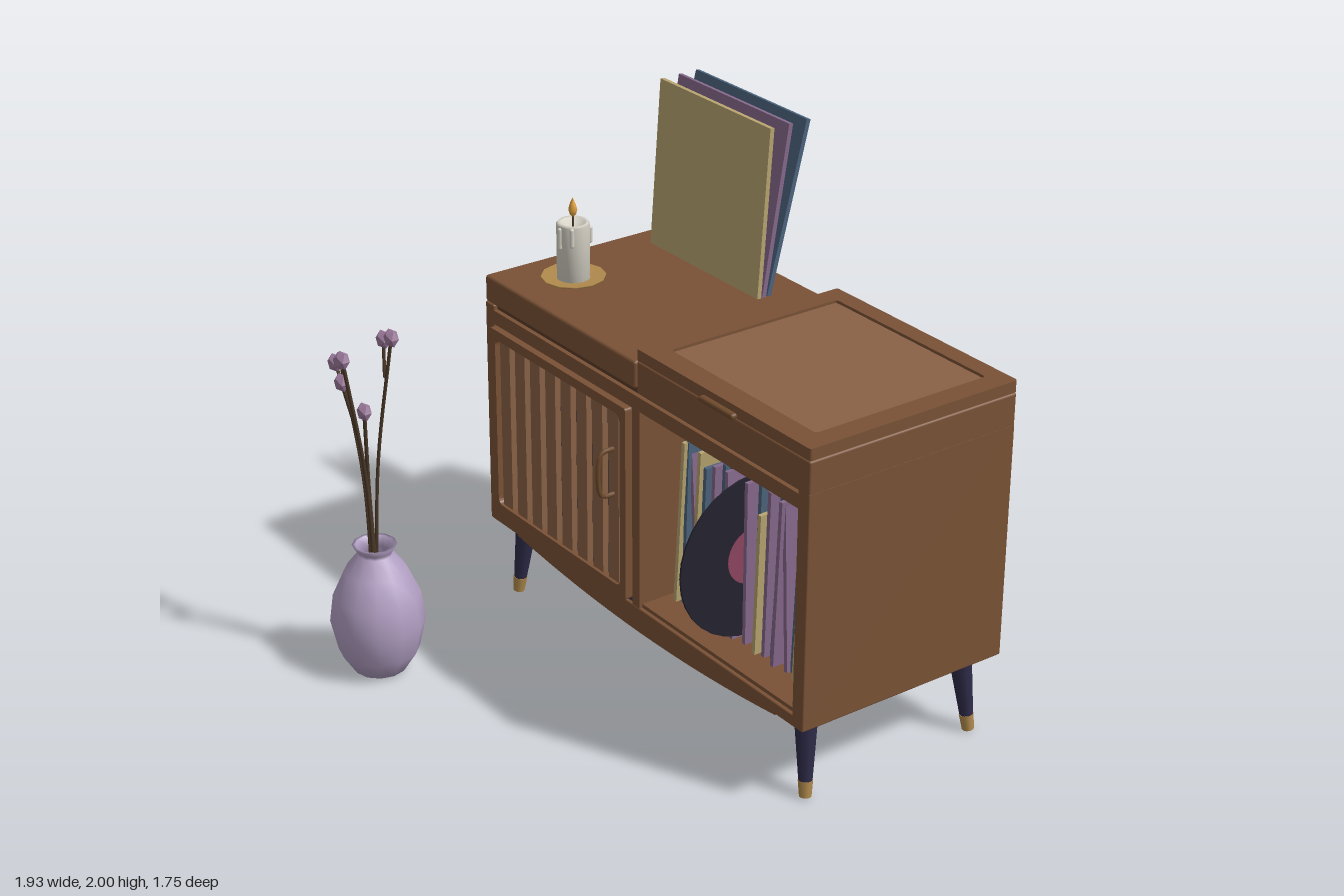
import * as THREE from 'three';
import { RoundedBoxGeometry } from 'three/addons/geometries/RoundedBoxGeometry.js';

const mat = (color, extra = {}) => {
  const m = new THREE.MeshStandardMaterial(extra);
  m.color.set(color);
  return m;
};
const M = {
  wood: mat(0x7a5236), panel: mat(0x8a6246), dark: mat(0x5a3b28), navy: mat(0x3b3654), leg: mat(0x2e2b48),
  gold: mat(0xb08a4c), brass: mat(0x6e4a2c), yellow: mat(0xb8a470), purple: mat(0x86698c), blue: mat(0x4c637c),
  vinyl: mat(0x24222e), label: mat(0x8c4460), vase: mat(0xb3a0c4, { side: THREE.DoubleSide }),
  wax: mat(0xd6d2c6), flame: mat(0xe0a040), twig: mat(0x4a3828), bloom: mat(0x9c7a9c, { flatShading: true }),
};

export function createModel() {
  const root = new THREE.Group();
  root.name = 'recordCabinet';

  const add = (name, geo, m, x = 0, y = 0, z = 0, parent = root) => {
    const mesh = new THREE.Mesh(geo, m);
    mesh.name = name;
    mesh.position.set(x, y, z);
    parent.add(mesh);
    return mesh;
  };
  // box from its limits, optionally with softened edges
  const box = (name, m, x0, x1, y0, y1, z0, z1, r = 0, parent = root) => {
    const s = [x1 - x0, y1 - y0, z1 - z0];
    const geo = r ? new RoundedBoxGeometry(...s, 2, r) : new THREE.BoxGeometry(...s);
    return add(name, geo, m, (x0 + x1) / 2, (y0 + y1) / 2, (z0 + z1) / 2, parent);
  };
  const tube = (name, pts, r, m, parent = root) => add(name, new THREE.TubeGeometry(
    new THREE.CatmullRomCurve3(pts.map(p => new THREE.Vector3(...p))), 14, r, 6), m, 0, 0, 0, parent);
  const roundRect = (Type, x0, x1, y0, y1, r) => {
    const s = new Type();
    s.moveTo(x0 + r, y0);
    s.lineTo(x1 - r, y0).quadraticCurveTo(x1, y0, x1, y0 + r);
    s.lineTo(x1, y1 - r).quadraticCurveTo(x1, y1, x1 - r, y1);
    s.lineTo(x0 + r, y1).quadraticCurveTo(x0, y1, x0, y1 - r);
    s.lineTo(x0, y0 + r).quadraticCurveTo(x0, y0, x0 + r, y0);
    return s;
  };

  // Carcass
  box('rightSide', M.wood, -0.97, -0.915, 0.32, 1.235, -0.87, 0.03, 0.006);
  box('leftSide', M.wood, 0.905, 0.965, 0.32, 1.235, -0.87, 0.03, 0.006);
  box('bottomBoard', M.wood, -0.96, 0.955, 0.32, 0.365, -0.868, 0.03, 0.005);
  box('innerFloor', M.wood, -0.93, 0.93, 0.36, 0.38, -0.855, 0.015);
  box('topBoard', M.wood, -0.93, 0.93, 1.16, 1.215, -0.868, 0.03);
  box('shadowGap', M.dark, -0.93, 0.93, 1.21, 1.24, -0.855, 0.012);
  box('divider', M.wood, -0.03, 0.015, 0.36, 1.17, -0.85, 0.028);
  box('backPanel', M.wood, -0.925, 0.925, 0.35, 1.18, -0.855, -0.825);
  box('compartmentBack', M.navy, 0.01, 0.91, 0.37, 1.165, -0.826, -0.815);
  box('doorBacking', M.navy, -0.92, -0.025, 0.37, 1.165, 0.0, 0.022);

  // Fixed top on one side, hinged lid on the other
  box('fixedTop', M.wood, -0.97, -0.012, 1.235, 1.342, -0.87, 0.03, 0.012);
  box('playerBox', M.wood, 0, 0.965, 1.225, 1.352, -0.87, 0.03, 0.008);
  const lid = new THREE.Group();
  lid.name = 'lid';
  root.add(lid);
  const lidShape = roundRect(THREE.Shape, 0, 0.965, -0.03, 0.87, 0.012);
  lidShape.holes.push(roundRect(THREE.Path, 0.08, 0.88, 0.06, 0.8, 0.015));
  const lidGeo = new THREE.ExtrudeGeometry(lidShape, { depth: 0.044, bevelEnabled: false });
  add('lidFrame', lidGeo.rotateX(-Math.PI / 2), M.wood, 0, 1.355, 0, lid);
  box('lidPanel', M.panel, 0.078, 0.882, 1.35, 1.388, -0.802, -0.058, 0, lid);
  box('lidHandle', M.brass, 0.385, 0.575, 1.352, 1.374, 0.025, 0.053, 0.009, lid);

  // Slatted door
  const door = new THREE.Group();
  door.name = 'door';
  root.add(door);
  const frame = roundRect(THREE.Shape, -0.905, -0.03, 0.388, 1.16, 0.012);
  frame.holes.push(roundRect(THREE.Path, -0.868, -0.065, 0.43, 1.122, 0.03));
  add('doorFrame', new THREE.ExtrudeGeometry(frame, { depth: 0.03, bevelEnabled: false, curveSegments: 5 }), M.wood, 0, 0, 0.028, door);
  for (let i = 0; i < 8; i++) {
    const x = -0.82 + i * 0.1;
    box('slat', M.panel, x - 0.032, x + 0.032, 0.42, 1.13, 0.02, 0.046, 0, door);
  }
  tube('doorHandle', [[-0.12, 0.785, 0.04], [-0.12, 0.785, 0.085], [-0.12, 0.8, 0.105],
    [-0.12, 0.95, 0.105], [-0.12, 0.965, 0.085], [-0.12, 0.965, 0.04]], 0.009, M.brass, door);

  // Curved apron under the front
  const arc = new THREE.Shape();
  arc.moveTo(-0.8, 0.33);
  arc.lineTo(-0.8, 0.305);
  arc.quadraticCurveTo(0, 0.205, 0.8, 0.305);
  arc.lineTo(0.8, 0.33);
  add('apron', new THREE.ExtrudeGeometry(arc, { depth: 0.03, bevelEnabled: false, curveSegments: 16 }), M.wood, 0, 0, -0.012);

  // Splayed legs with metal tips
  const rod = (name, a, b, ra, rb, m) => {
    const A = new THREE.Vector3(...a), B = new THREE.Vector3(...b), d = B.clone().sub(A);
    const mesh = add(name, new THREE.CylinderGeometry(rb, ra, d.length(), 10), m);
    mesh.position.copy(A).add(B).multiplyScalar(0.5);
    mesh.quaternion.setFromUnitVectors(new THREE.Vector3(0, 1, 0), d.normalize());
  };
  for (const sx of [-1, 1]) for (const [zTop, zFoot] of [[-0.068, -0.045], [-0.767, -0.797]]) {
    const at = y => [sx * (0.9 - 0.037 * y / 0.33), y, zFoot + (zTop - zFoot) * y / 0.33];
    rod('leg', at(0.05), at(0.33), 0.024, 0.044, M.leg);
    rod('legTip', at(0.003), at(0.065), 0.022, 0.027, M.gold);
  }

  // Stored sleeves: [foot x, lean, height, colour]
  const sleeves = [
    [0.07, 0.045, 0.66, 'yellow'], [0.1, 0.02, 0.66, 'blue'], [0.165, -0.05, 0.66, 'purple'], [0.17, 0.04, 0.66, 'yellow'],
    [0.195, 0.03, 0.6, 'blue'], [0.24, -0.03, 0.56, 'purple'], [0.275, 0.02, 0.64, 'purple'], [0.305, 0.03, 0.66, 'blue'],
    [0.345, 0.01, 0.66, 'blue'], [0.405, -0.04, 0.65, 'purple'], [0.46, 0.0, 0.64, 'purple'], [0.5, 0.02, 0.66, 'blue'],
    [0.535, 0.02, 0.56, 'yellow'], [0.57, 0.02, 0.66, 'purple'], [0.6, 0.04, 0.66, 'blue'], [0.64, 0.03, 0.66, 'purple'],
    [0.7, -0.03, 0.64, 'purple'], [0.715, 0.03, 0.66, 'blue'], [0.76, 0.03, 0.64, 'yellow'], [0.79, 0.03, 0.66, 'blue'],
    [0.835, 0.01, 0.56, 'purple'], [0.865, 0.02, 0.66, 'blue'], [0.89, 0.0, 0.66, 'blue'],
  ];
  sleeves.forEach(([x, lean, h, c], i) => {
    const s = add('storedSleeve', new THREE.BoxGeometry(0.017, h, 0.66), M[c], x + lean / 2, 0.384 + h / 2, -0.42 - (i % 3) * 0.015);
    s.rotation.z = -Math.atan2(lean, h);
  });

  // Record pulled partly out
  const disc = (name, r, t, m) => {
    add(name, new THREE.CylinderGeometry(r, r, t, 32).rotateZ(Math.PI / 2), m, 0.43, 0.715, -0.16);
  };
  disc('record', 0.315, 0.008, M.vinyl);
  disc('recordLabel', 0.11, 0.011, M.label);

  // Sleeves leaning on the top: foot z, top z
  for (const [z0, z1, c] of [[-0.655, -0.7, 'yellow'], [-0.677, -0.785, 'purple'], [-0.7, -0.865, 'blue']]) {
    const len = Math.hypot(0.65, z1 - z0);
    const s = add('displaySleeve', new THREE.BoxGeometry(0.665, len, 0.018), M[c], -0.518, 1.67, (z0 + z1) / 2);
    s.rotation.x = Math.atan2(z1 - z0, 0.65);
  }

  const lathe = (pts, n) => new THREE.LatheGeometry(pts.map(p => new THREE.Vector2(...p)), n);

  // Candle on a saucer
  const candle = new THREE.Group();
  candle.name = 'candle';
  candle.position.set(-0.735, 1.342, -0.21);
  root.add(candle);
  add('saucer', lathe([[0, 0], [0.09, 0], [0.122, 0.014], [0.122, 0.02], [0.09, 0.012], [0, 0.012]], 12), M.gold, 0, 0, 0, candle);
  add('wax', lathe([[0, 0.01], [0.063, 0.01], [0.063, 0.225], [0.056, 0.234], [0.045, 0.23], [0.025, 0.215], [0, 0.212]], 16), M.wax, 0, 0, 0, candle);
  for (const [a, y, l] of [[0.1, 0.18, 0.07], [0.9, 0.19, 0.06], [2.6, 0.18, 0.05], [4.4, 0.19, 0.04]]) {
    add('drip', new THREE.CapsuleGeometry(0.009, l, 3, 6), M.wax, Math.sin(a) * 0.063, y, Math.cos(a) * 0.063, candle);
  }
  add('wick', new THREE.CylinderGeometry(0.004, 0.004, 0.06, 6), M.twig, 0, 0.238, 0, candle);
  add('flame', lathe([[0, 0.25], [0.012, 0.262], [0.017, 0.28], [0.011, 0.303], [0, 0.328]], 8), M.flame, 0, 0, 0, candle);

  // Floor vase with dried stems
  const vase = new THREE.Group();
  vase.name = 'vase';
  vase.position.set(-0.715, 0, 0.7);
  root.add(vase);
  add('vaseBody', lathe([[0, 0.008], [0.1, 0.008], [0.152, 0.09], [0.178, 0.21], [0.163, 0.32], [0.118, 0.42],
    [0.066, 0.487], [0.066, 0.5], [0.084, 0.525], [0.07, 0.525], [0.052, 0.49], [0.09, 0.42]], 12), M.vase, 0, 0, 0, vase);
  const stem = (from, tip, bend) => {
    const mid = from.map((v, i) => v + (tip[i] - v) * 0.5 + bend[i]);
    tube('stem', [from, mid, tip], 0.007, M.twig, vase);
    const b = add('bloom', new THREE.IcosahedronGeometry(0.034, 0), M.bloom, ...tip, vase);
    b.scale.set(1, 1.05, 0.8);
  };
  stem([0, 0.35, 0], [0.115, 1.385, -0.04], [-0.03, 0, 0.005]);
  stem([0.01, 0.35, 0.01], [0.025, 1.305, 0.11], [0.01, 0, -0.02]);
  stem([-0.01, 0.35, 0.01], [-0.105, 1.235, 0.045], [0.03, 0, -0.01]);
  stem([0.01, 0.35, 0], [0.04, 1.09, 0.04], [-0.01, 0, 0]);
  // side shoots
  stem([0.075, 1.22, -0.03], [0.06, 1.36, -0.04], [0, 0, 0]);
  stem([-0.07, 1.1, 0.035], [-0.145, 1.215, 0.045], [0, -0.01, 0]);
  stem([-0.045, 0.95, 0.02], [-0.06, 1.175, 0.07], [0, 0, 0]);

  return root;
}
